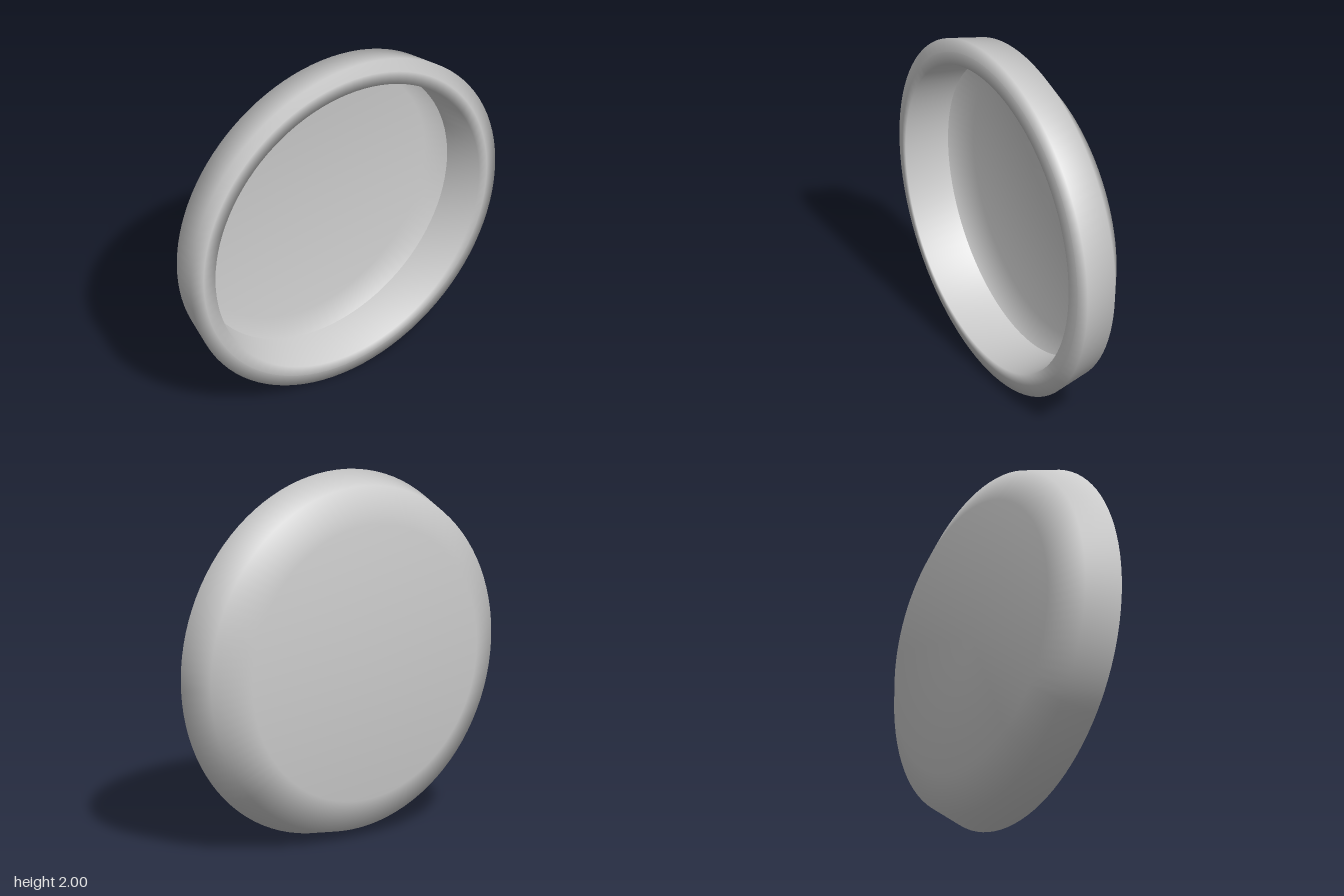
import * as THREE from 'three';

// Revolve an [radius, z] profile about the z axis, centred at y = 1
function revolve(name, profile) {
  const points = profile.map(([r, z]) => new THREE.Vector2(r, z));
  const geometry = new THREE.LatheGeometry(points, 96);
  geometry.rotateX(Math.PI / 2);
  geometry.translate(0, 1, 0);
  const material = new THREE.MeshStandardMaterial({ color: 0xcccccc, side: THREE.DoubleSide });
  const mesh = new THREE.Mesh(geometry, material);
  mesh.name = name;
  return mesh;
}

export function createModel() {
  const group = new THREE.Group();
  group.name = 'shallowDish';

  // Thin shell: flat back, bevelled shoulder, flared side wall and outer rim
  group.add(revolve('shell', [[0, -0.18], [0.76, -0.18], [0.95, -0.06], [1, 0.14], [0.93, 0.163]]));

  // Front lip turning over into the inner wall, open towards the back
  group.add(revolve('innerRim', [[0.93, 0.163], [0.865, 0.18], [0.825, -0.06]]));

  return group;
}
